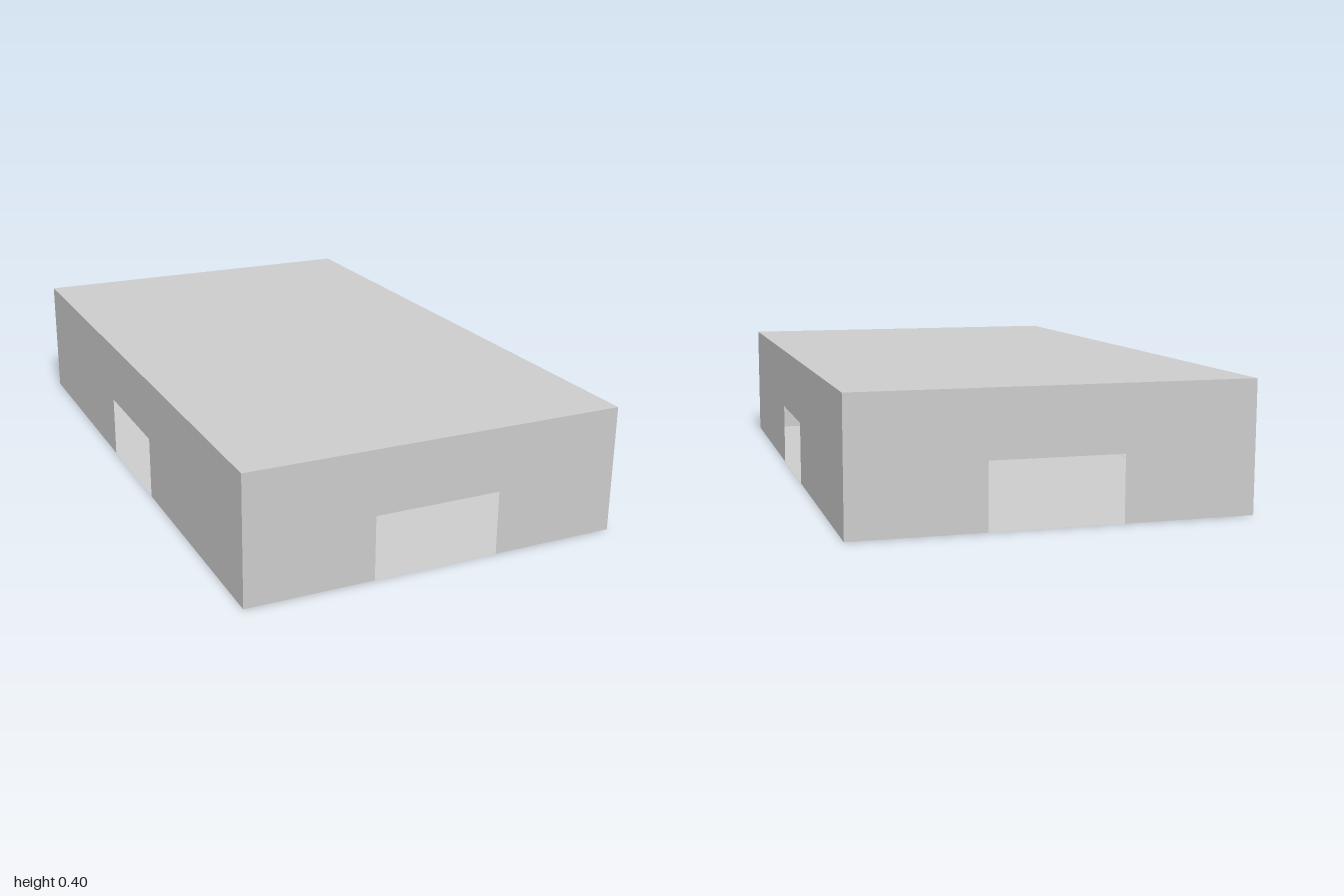
import * as THREE from 'three';

const WIDTH = 1.2, LENGTH = 2, HEIGHT = 0.4;
const DOOR_WIDTH = 0.4, DOOR_HEIGHT = 0.2;

// Flat wall outline with a doorway notched into the middle of its base
function wallGeometry(width) {
  const w = width / 2, d = DOOR_WIDTH / 2;
  const shape = new THREE.Shape([
    [-w, 0], [-d, 0], [-d, DOOR_HEIGHT], [d, DOOR_HEIGHT],
    [d, 0], [w, 0], [w, HEIGHT], [-w, HEIGHT],
  ].map(([x, y]) => new THREE.Vector2(x, y)));
  return new THREE.ShapeGeometry(shape);
}

export function createModel() {
  const group = new THREE.Group();
  group.name = 'hollowBox';
  const material = new THREE.MeshStandardMaterial({ color: 0xcccccc, side: THREE.DoubleSide });

  function add(name, geometry) {
    const mesh = new THREE.Mesh(geometry, material);
    mesh.name = name;
    group.add(mesh);
  }

  // Four thin walls, each turned to face outwards
  ['frontWall', 'leftWall', 'backWall', 'rightWall'].forEach((name, i) => {
    const [width, distance] = i % 2 ? [LENGTH, WIDTH / 2] : [WIDTH, LENGTH / 2];
    add(name, wallGeometry(width).translate(0, 0, distance).rotateY(i * Math.PI / 2));
  });

  // Roof and floor sheets close the shell
  add('roof', new THREE.PlaneGeometry(WIDTH, LENGTH).rotateX(-Math.PI / 2).translate(0, HEIGHT, 0));
  add('floor', new THREE.PlaneGeometry(WIDTH, LENGTH).rotateX(Math.PI / 2));

  return group;
}
